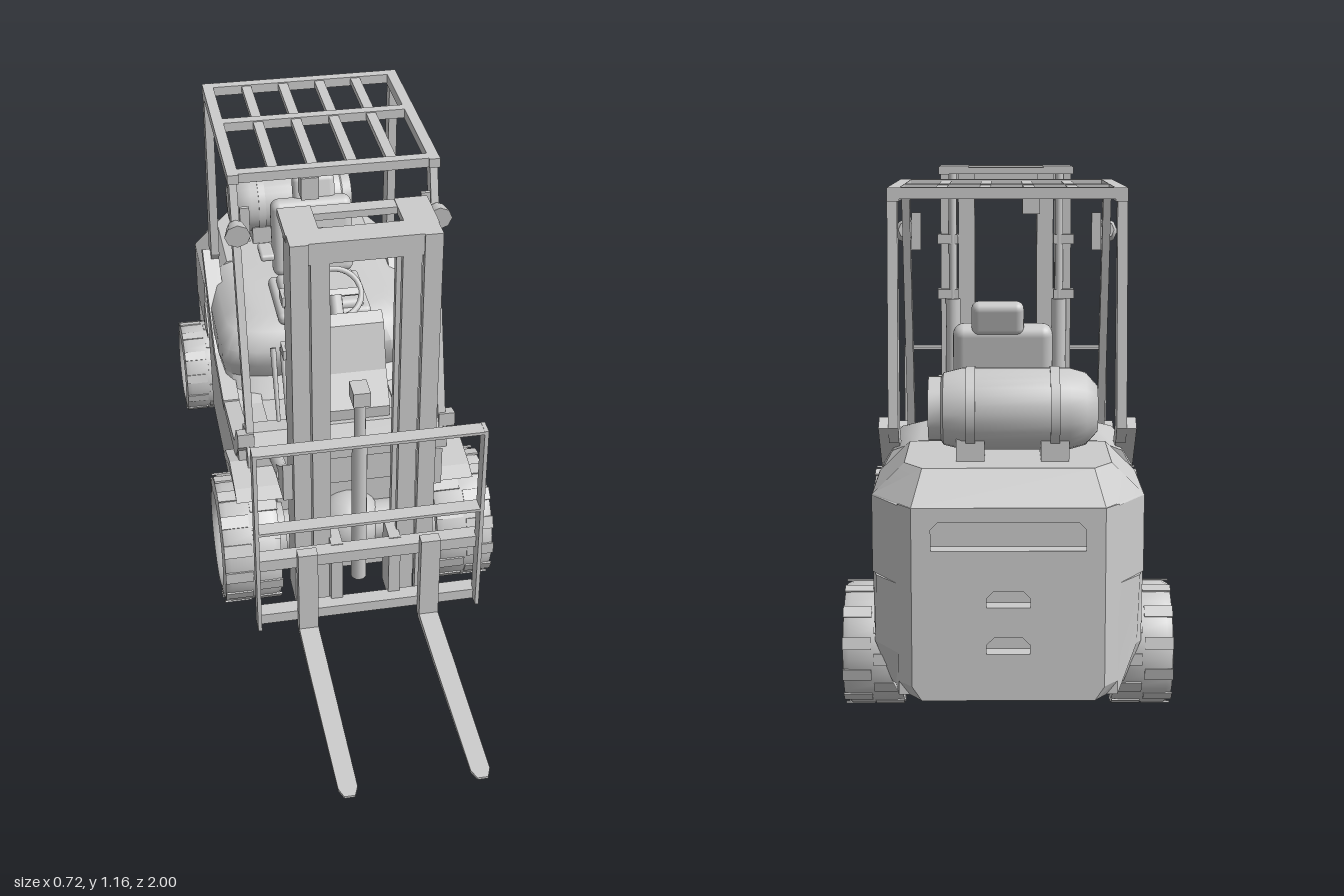
import * as THREE from 'three';
import { toCreasedNormals } from 'three/addons/utils/BufferGeometryUtils.js';
import { RoundedBoxGeometry } from 'three/addons/geometries/RoundedBoxGeometry.js';

const grey = new THREE.MeshStandardMaterial({ color: 0xcccccc });
grey.name = 'light grey';

export function createModel() {
  const model = new THREE.Group();
  model.name = 'forklift';

  const add = (name, geo, x = 0, y = 0, z = 0) => {
    const m = new THREE.Mesh(geo, grey);
    m.name = name;
    m.position.set(x, y, z);
    model.add(m);
    return m;
  };
  // Box given by its limits
  const box = (name, x0, x1, y0, y1, z0, z1) =>
    add(name, new THREE.BoxGeometry(x1 - x0, y1 - y0, z1 - z0), (x0 + x1) / 2, (y0 + y1) / 2, (z0 + z1) / 2);
  const pad = (name, x0, x1, y0, y1, z0, z1, r) =>
    add(name, new RoundedBoxGeometry(x1 - x0, y1 - y0, z1 - z0, 3, r), (x0 + x1) / 2, (y0 + y1) / 2, (z0 + z1) / 2);
  // Round rod between two points
  const rod = (name, a, b, r, r2 = r, n = 12) => {
    const p = new THREE.Vector3(...a), q = new THREE.Vector3(...b);
    const m = add(name, new THREE.CylinderGeometry(r2, r, p.distanceTo(q), n));
    m.position.copy(p).lerp(q, 0.5);
    m.quaternion.setFromUnitVectors(new THREE.Vector3(0, 1, 0), q.sub(p).normalize());
    return m;
  };
  // Side profile of [z, y] points, extruded across x
  const side = (name, pts, x0, x1) => {
    const w = x1 - x0;
    const g = new THREE.ExtrudeGeometry(new THREE.Shape(pts.map((p) => new THREE.Vector2(...p))), { depth: w, bevelEnabled: false });
    g.translate(0, 0, -w / 2).rotateY(-Math.PI / 2);
    return add(name, g, (x0 + x1) / 2);
  };
  const sideBoth = (name, pts, x0, x1) => {
    side(name + 'Left', pts, x0, x1);
    side(name + 'Right', pts, -x1, -x0);
  };
  // Skin over convex rings, counter-clockwise seen from the last ring's end, with caps
  const loft = (name, rings, crease = 0.6) => {
    const v = [], n = rings[0].length;
    const tri = (...t) => t.forEach((p) => v.push(...p));
    for (let i = 0; i < rings.length - 1; i++) for (let j = 0; j < n; j++) {
      const k = (j + 1) % n, a = rings[i], b = rings[i + 1];
      tri(a[j], b[k], b[j]);
      tri(a[j], a[k], b[k]);
    }
    const f = rings[0], l = rings[rings.length - 1];
    for (let j = 1; j < n - 1; j++) {
      tri(f[0], f[j + 1], f[j]);
      tri(l[0], l[j], l[j + 1]);
    }
    const g = new THREE.BufferGeometry();
    g.setAttribute('position', new THREE.Float32BufferAttribute(v, 3));
    return add(name, toCreasedNormals(g, crease));
  };

  // Wheels: dished lathe with tread lugs
  const wheel = (name, s, x, y, z, r, w, lugs) => {
    const g = new THREE.Group(), h = w / 2;
    g.name = name;
    const prof = [[0, -0.3], [0.6, -0.3], [0.68, -0.9], [0.93, -0.95], [0.98, -0.75], [0.98, 0.75], [0.93, 0.95],
      [0.74, 1], [0.68, 0.85], [0.62, 0.1], [0.4, 0], [0.32, 0.1], [0.28, 0.5], [0.1, 0.55], [0, 0.55]];
    const lathe = new THREE.LatheGeometry(prof.map(([a, b]) => new THREE.Vector2(a * r, b * h)), 32);
    const tyre = new THREE.Mesh(toCreasedNormals(lathe, 0.6), grey);
    tyre.name = 'tyreAndRim';
    g.add(tyre);
    for (let i = 0; i < lugs; i++) {
      const a = (i / lugs) * Math.PI * 2, up = i % 2 ? 1 : -1;
      const lug = new THREE.Mesh(new THREE.BoxGeometry(r * 0.03, w * 0.46, r * 0.19), grey);
      lug.name = 'treadLug';
      lug.position.set(Math.cos(a) * r * 0.98, up * h * 0.5, -Math.sin(a) * r * 0.98);
      lug.rotation.y = a;
      g.add(lug);
    }
    for (let i = 0; i < 6; i++) {
      const a = (i / 6) * Math.PI * 2;
      const bolt = new THREE.Mesh(new THREE.CylinderGeometry(r * 0.05, r * 0.05, h * 0.2, 6), grey);
      bolt.name = 'wheelBolt';
      bolt.position.set(Math.cos(a) * r * 0.49, h * 0.12, Math.sin(a) * r * 0.49);
      g.add(bolt);
    }
    g.rotation.z = -s * Math.PI / 2;
    g.position.set(s * x, y, z);
    model.add(g);
  };
  for (const s of [1, -1]) {
    wheel('frontWheel', s, 0.28, 0.175, 0.15, 0.172, 0.155, 28);
    wheel('rearWheel', s, 0.292, 0.137, -0.74, 0.137, 0.135, 24);
  }

  // Counterweight: chamfered block, wheel arches and a slotted rear plate
  const plan = (y, w, zf, zb, wb) => [[w, y, zf], [w, y, -0.86], [wb, y, zb], [-wb, y, zb], [-w, y, -0.86], [-w, y, zf]];
  loft('counterweight', [plan(0.33, 0.29, -0.59, -0.96, 0.23), plan(0.497, 0.29, -0.61, -0.96, 0.23),
    plan(0.5, 0.288, -0.62, -0.998, 0.2), plan(0.567, 0.22, -0.62, -0.92, 0.18)], 0.2);
  const low = (y, w, zf) => [[w, y, zf], [w - 0.01, y, -0.89], [0.23, y, -0.96], [-0.23, y, -0.96], [0.01 - w, y, -0.89], [-w, y, zf]];
  loft('counterweightLower', [low(0.09, 0.25, -0.87), low(0.18, 0.285, -0.875), low(0.33, 0.29, -0.84)], 0.2);
  box('counterweightCore', -0.18, 0.18, 0.2, 0.34, -0.9, -0.55);
  const plate = new THREE.Shape([[-0.2, 0.12], [-0.18, 0.09], [0.18, 0.09], [0.2, 0.12], [0.2, 0.5], [-0.2, 0.5]].map((p) => new THREE.Vector2(...p)));
  for (const [w, y0, y1] of [[0.16, 0.41, 0.47], [0.045, 0.29, 0.325], [0.045, 0.19, 0.225]]) {
    plate.holes.push(new THREE.Path([[-w, y0], [-w, y1 - 0.015], [0.015 - w, y1], [w - 0.015, y1], [w, y1 - 0.015], [w, y0]].map((p) => new THREE.Vector2(...p))));
  }
  const rear = new THREE.ExtrudeGeometry(plate, { depth: 0.04, bevelEnabled: false }).translate(0, 0, -1);
  const rp = rear.attributes.position;
  for (let i = 0; i < rp.count; i++) if (rp.getZ(i) > -0.97) rp.setX(i, rp.getX(i) * 1.15);
  rear.computeVertexNormals();
  add('rearPlate', rear);

  // Engine hood with rounded plan
  const hoodRing = (y, w, zf, zb, r) => {
    const ring = [[-w, y, zb]];
    for (let i = 0; i <= 12; i++) {
      const a = Math.PI * (1 - i / 12), c = Math.cos(a), s = Math.max(0, Math.sin(a));
      ring.push([w * Math.sign(c) * Math.abs(c) ** 0.6, y, zf - r + r * s ** 0.6]);
    }
    ring.push([w, y, zb]);
    return ring;
  };
  loft('engineHood', [hoodRing(0.33, 0.27, -0.2, -0.62, 0.1), hoodRing(0.4, 0.275, -0.25, -0.62, 0.1), hoodRing(0.45, 0.285, -0.225, -0.62, 0.1),
    hoodRing(0.5, 0.285, -0.215, -0.62, 0.11), hoodRing(0.545, 0.26, -0.25, -0.62, 0.11), hoodRing(0.568, 0.2, -0.31, -0.62, 0.1)], 0.9);

  // Lower body, floor and front cowl
  sideBoth('sidePanel', [[0.1, 0.35], [0.1, 0.42], [0.03, 0.4], [-0.06, 0.36], [-0.2, 0.35], [-0.3, 0.38], [-0.42, 0.42], [-0.61, 0.46],
    [-0.6, 0.33], [-0.575, 0.24], [-0.56, 0.11], [-0.1, 0.11], [-0.07, 0.22], [-0.02, 0.31], [0.03, 0.35]], 0.18, 0.285);
  sideBoth('frontFender', [[0.24, 0.355], [0.2, 0.37], [0.1, 0.385], [0, 0.35], [-0.05, 0.3], [-0.02, 0.305], [0.06, 0.35], [0.15, 0.358]], 0.19, 0.31);
  sideBoth('vent', [[-0.53, 0.38], [-0.62, 0.35], [-0.62, 0.42], [-0.58, 0.46]], 0.288, 0.294);
  box('floor', -0.2, 0.2, 0.3, 0.345, -0.27, 0.08);
  side('frontCowl', [[0.13, 0.3], [0.13, 0.42], [0.1, 0.47], [0.04, 0.46], [0.02, 0.34]], -0.265, 0.265);
  side('dashboard', [[0.08, 0.44], [0.085, 0.5], [0.03, 0.58], [-0.01, 0.7], [-0.04, 0.72], [-0.09, 0.68], [-0.07, 0.54], [0.0, 0.48]], -0.08, 0.12);

  // Underbody and axles
  box('frontChassis', -0.19, 0.19, 0.2, 0.32, 0.0, 0.12);
  box('gearbox', -0.1, 0.1, 0.13, 0.3, -0.2, 0.08);
  box('engineSump', -0.13, 0.13, 0.16, 0.34, -0.5, -0.26);
  rod('frontAxle', [-0.27, 0.175, 0.15], [0.27, 0.175, 0.15], 0.055, 0.055, 20);
  for (const s of [1, -1]) rod('axleHub', [s * 0.18, 0.175, 0.15], [s * 0.265, 0.175, 0.15], 0.08, 0.08, 20);
  add('differential', new THREE.SphereGeometry(0.09, 20, 14), 0, 0.175, 0.14);
  rod('rearAxle', [-0.27, 0.137, -0.74], [0.27, 0.137, -0.74], 0.035);
  box('rearAxleBeam', -0.17, 0.17, 0.1, 0.21, -0.79, -0.69);

  // Overhead guard: pillars, rails and roof bars
  sideBoth('frontPillar', [[0.115, 0.46], [0.08, 0.46], [-0.105, 1.09], [-0.075, 1.13]], 0.244, 0.264);
  sideBoth('frontPillarFoot', [[0.12, 0.48], [0.12, 0.44], [0.05, 0.36], [-0.2, 0.34], [-0.2, 0.365], [0.03, 0.4], [0.08, 0.47]], 0.245, 0.288);
  sideBoth('rearPillar', [[-0.57, 1.13], [-0.6, 1.13], [-0.645, 0.6], [-0.61, 0.56], [-0.575, 0.62]], 0.245, 0.268);
  sideBoth('rearPillarFoot', [[-0.61, 0.62], [-0.645, 0.6], [-0.42, 0.38], [-0.2, 0.34], [-0.2, 0.37], [-0.38, 0.41]], 0.245, 0.29);
  sideBoth('roofRail', [[-0.06, 1.135], [-0.06, 1.11], [-0.61, 1.105], [-0.61, 1.135]], 0.24, 0.268);
  for (const z of [-0.08, -0.37, -0.595]) box('roofCrossBar', -0.25, 0.25, 1.11, 1.135, z - 0.014, z + 0.014);
  for (const x of [-0.15, -0.05, 0.05, 0.15]) box('roofBar', x - 0.013, x + 0.013, 1.115, 1.132, -0.59, -0.08);
  box('roofLamp', -0.085, -0.04, 1.05, 1.11, -0.11, -0.06);

  // Head lamps on the pillars
  for (const s of [1, -1]) {
    rod('lampArm', [s * 0.255, 1.0, -0.06], [s * 0.255, 1.0, -0.02], 0.01);
    rod('headLamp', [s * 0.255, 1.005, -0.035], [s * 0.255, 1.0, 0.005], 0.022, 0.033, 8);
    box('lampBracket', s * 0.23 - 0.012, s * 0.23 + 0.012, 0.955, 1.05, -0.055, -0.045);
  }

  // Seat
  pad('seatBase', -0.12, 0.14, 0.555, 0.59, -0.48, -0.26, 0.015);
  pad('seatCushion', -0.1, 0.12, 0.575, 0.61, -0.46, -0.27, 0.016);
  pad('seatBack', -0.105, 0.125, 0.595, 0.82, -0.515, -0.455, 0.025).rotation.x = -0.16;
  pad('headrest', -0.038, 0.082, 0.795, 0.875, -0.545, -0.505, 0.018).rotation.x = -0.3;
  for (const x of [-0.125, 0.145]) pad('armrest', x - 0.02, x + 0.02, 0.67, 0.69, -0.5, -0.42, 0.008);

  // Steering wheel and levers
  rod('steeringColumn', [0.01, 0.62, -0.03], [0.01, 0.73, -0.115], 0.018);
  const wheelRim = add('steeringWheel', new THREE.TorusGeometry(0.07, 0.008, 8, 28), 0.01, 0.735, -0.118);
  wheelRim.rotation.x = Math.PI / 2 + 0.65;
  const spokes = add('steeringSpokes', new THREE.BoxGeometry(0.135, 0.02, 0.008), 0.01, 0.735, -0.118);
  spokes.rotation.x = wheelRim.rotation.x;
  for (let i = 0; i < 4; i++) rod('lever', [-0.17 + i * 0.025, 0.45, 0.05], [-0.17 + i * 0.025, 0.64, -0.03], 0.005, 0.008, 8);

  // Gas tank across the counterweight
  const tank = [[0, -0.183], [0.05, -0.18], [0.078, -0.155], [0.088, -0.12], [0.088, 0.11], [0.078, 0.15], [0.07, 0.155], [0.07, 0.182], [0.06, 0.182], [0.055, 0.155], [0, 0.16]];
  add('gasTank', toCreasedNormals(new THREE.LatheGeometry(tank.map((p) => new THREE.Vector2(...p)), 28), 0.7), -0.012, 0.67, -0.785).rotation.z = -Math.PI / 2;
  for (const x of [-0.1, 0.08]) {
    add('tankStrap', new THREE.CylinderGeometry(0.092, 0.092, 0.02, 28), x, 0.67, -0.785).rotation.z = Math.PI / 2;
    box('tankCradle', x - 0.03, x + 0.03, 0.56, 0.62, -0.85, -0.71);
  }

  // Mast: outer and inner channels, cylinders and cross members
  for (const s of [1, -1]) {
    const rail = (name, xa, xb, y0, y1, z0, z1) => box(name, Math.min(s * xa, s * xb), Math.max(s * xa, s * xb), y0, y1, z0, z1);
    rail('outerRailWeb', 0.158, 0.178, 0.09, 1.16, 0.25, 0.355);
    rail('outerRailFront', 0.135, 0.16, 0.09, 1.16, 0.335, 0.355);
    rail('outerRailBack', 0.135, 0.16, 0.09, 1.16, 0.25, 0.27);
    rail('innerRailWeb', 0.11, 0.13, 0.09, 1.15, 0.26, 0.35);
    rail('innerRailFront', 0.085, 0.112, 0.09, 1.15, 0.33, 0.35);
    rail('innerRailBack', 0.085, 0.112, 0.09, 1.15, 0.26, 0.28);
    rail('mastTopArm', 0.1, 0.18, 1.14, 1.16, 0.17, 0.3);
    for (const y of [0.8, 0.95]) rail('mastClamp', 0.13, 0.186, y, y + 0.025, 0.225, 0.27);
    rod('sideCylinder', [s * 0.145, 0.12, 0.235], [s * 0.145, 0.8, 0.235], 0.02);
    rod('sideCylinderRod', [s * 0.145, 0.8, 0.235], [s * 0.145, 1.14, 0.235], 0.011);
    side('tiltBracket', [[0.33, 0.53], [0.33, 0.42], [0.19, 0.4], [0.19, 0.43], [0.28, 0.49]], s * 0.19 - 0.012, s * 0.19 + 0.012);
    rod('tiltCylinder', [s * 0.19, 0.44, 0.25], [s * 0.19, 0.37, 0.02], 0.018);
  }
  box('mastTopBeam', -0.16, 0.16, 1.105, 1.16, 0.28, 0.35);
  box('mastTopRearBeam', -0.18, 0.18, 1.14, 1.158, 0.17, 0.21);
  for (const y of [0.12, 0.48]) box('mastCrossBeam', -0.16, 0.16, y, y + 0.04, 0.235, 0.26);
  rod('centreCylinder', [-0.003, 0.12, 0.3], [-0.003, 0.55, 0.3], 0.02);
  rod('centreCylinderRod', [-0.003, 0.55, 0.3], [-0.003, 0.71, 0.3], 0.015);
  box('chainHead', -0.025, 0.018, 0.68, 0.72, 0.27, 0.33);

  // Carriage and load backrest
  box('carriageTop', -0.285, 0.285, 0.265, 0.298, 0.37, 0.41);
  box('carriageBottom', -0.285, 0.285, 0.09, 0.12, 0.37, 0.41);
  for (const s of [1, -1]) {
    box('carriagePlate', s * 0.075 - 0.015, s * 0.075 + 0.015, 0.1, 0.3, 0.3, 0.38);
    box('backrestUpright', s * 0.284 - 0.005, s * 0.284 + 0.005, 0.09, 0.645, 0.395, 0.435);
  }
  for (const y of [0.64, 0.402]) box('backrestBar', -0.288, 0.288, y - 0.004, y + 0.004, 0.395, 0.435);

  // Forks: upright shank and tapered blade
  for (const x of [-0.158, 0.156]) {
    box('forkShank', x - 0.025, x + 0.025, 0.065, 0.32, 0.405, 0.435);
    const ring = (z, w, y0, y1) => [[x - w, y0, z], [x + w, y0, z], [x + w, y1, z], [x - w, y1, z]];
    loft('forkBlade', [ring(0.42, 0.025, 0.06, 0.08), ring(0.6, 0.025, 0.062, 0.077), ring(0.975, 0.023, 0.069, 0.077), ring(1, 0.013, 0.07, 0.076)], 0.1);
  }
  return model;
}
